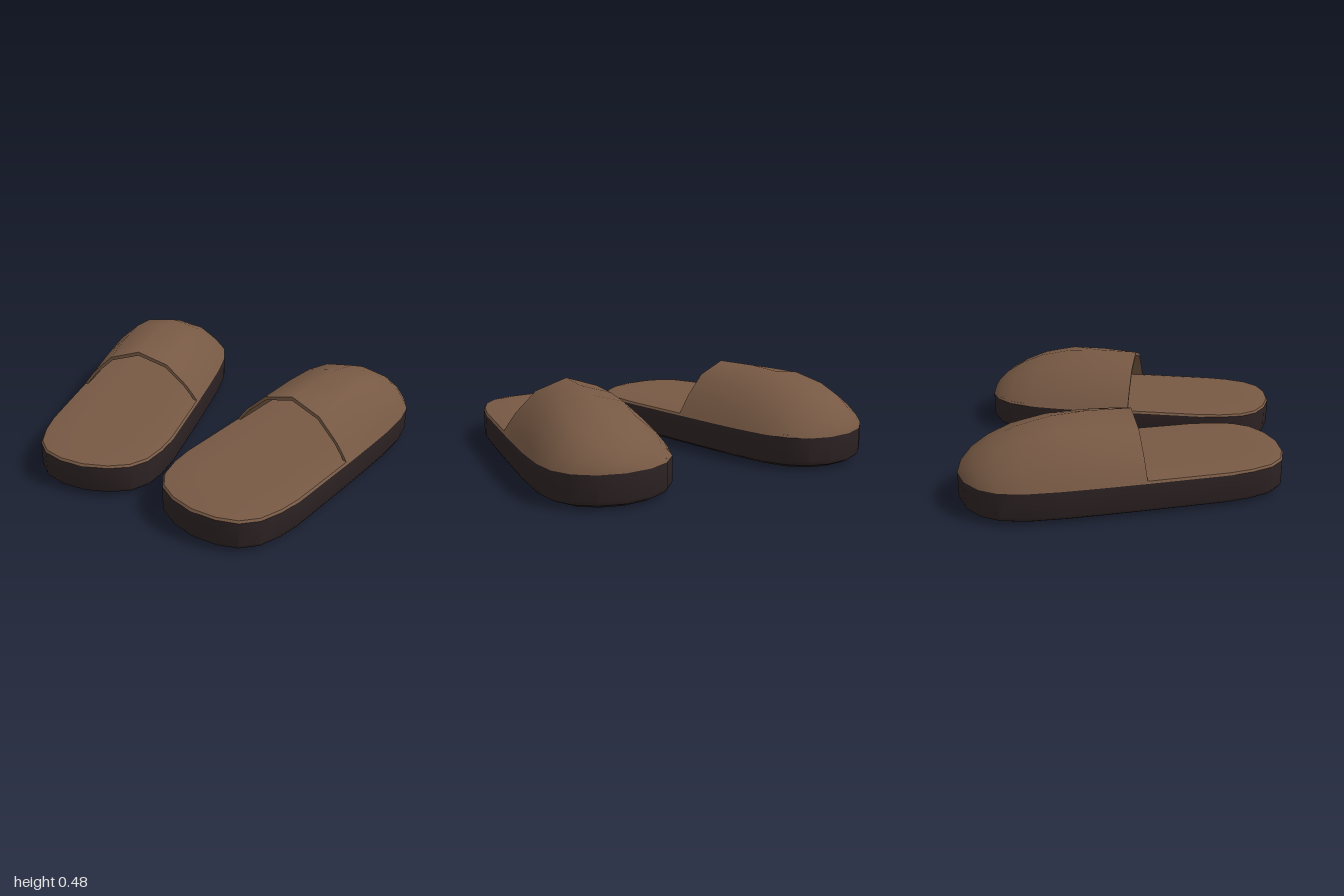
import * as THREE from 'three';
import { toCreasedNormals } from 'three/addons/utils/BufferGeometryUtils.js';

// Half-width of the sole along its length (heel at +z, toe at -z)
const HEEL = [[0.86, 0], [0.84, 0.14], [0.79, 0.25], [0.705, 0.32], [0.58, 0.358], [0.45, 0.374]];
// Toe half: z, half-width, height of the upper
const TOE = [[-0.005, 0.377, 0.285], [-0.25, 0.376, 0.29], [-0.45, 0.372, 0.277], [-0.64, 0.357, 0.235],
  [-0.775, 0.32, 0.175], [-0.87, 0.25, 0.115], [-0.935, 0.14, 0.05], [-0.96, 0, 0]];
const ACROSS = [-1, -0.93, -0.8, -0.48, 0, 0.48, 0.8, 0.93, 1];
const BASE = 0.188;

// Surface through rows of points; it faces along (column direction x row direction)
function surface(rows, crease) {
  const n = rows[0].length, index = [];
  for (let i = 0; i < rows.length - 1; i++) {
    for (let j = 0; j < n - 1; j++) {
      const a = i * n + j, d = a + n;
      index.push(a, a + 1, d + 1, a, d + 1, d);
    }
  }
  const geo = new THREE.BufferGeometry();
  geo.setAttribute('position', new THREE.Float32BufferAttribute(rows.flat(2), 3));
  geo.setIndex(index);
  return toCreasedNormals(geo, crease);
}

// Closed sole outline: heel, up the +x side to the toe, back down the -x side
const half = [...HEEL, ...TOE];
const outline = [...half.map(([z, w]) => [w, z]), ...half.slice(0, -1).reverse().map(([z, w]) => [-w, z])];

// Stack of outline rings, each [height, inset]; an inset of 1 closes the surface
function slab(rings) {
  return surface(rings.map(([y, inset]) => {
    const sx = inset === 1 ? 0 : 1 - inset / 0.377, sz = inset === 1 ? 0 : 1 - inset / 0.91;
    return outline.map(([x, z]) => [x * sx, y, (z + 0.05) * sz - 0.05]);
  }), 0.6);
}

// Arched shell over the toes, steeper on the outer side
function upperRows(side, sx, sy, sz) {
  return TOE.map(([z, w, h], i) => ACROSS.map((u) => {
    const depth = Math.min(1, i / 2);
    const power = u * side > 0 ? 2.1 + 1.1 * depth : 2.1 + 0.2 * depth;
    return [u * w * sx, BASE + h * sy * (1 - Math.abs(u) ** power), z * sz];
  }));
}

function makeSlipper(name, side, brown, dark) {
  const slipper = new THREE.Group();
  slipper.name = name;
  const add = (part, geo, material) => {
    const mesh = new THREE.Mesh(geo, material);
    mesh.name = part;
    slipper.add(mesh);
  };
  add('sole', slab([[0, 1], [0, 0.12], [0.008, 0.05], [0.03, 0.01], [0.05, 0], [BASE, 0]]), dark);
  add('footbed', slab([[BASE, 0], [0.2, 0.008], [0.208, 0.05], [0.212, 0.15], [0.213, 1]]), brown);

  // Upper: outside, lining and the rim that joins them at the opening
  const outer = upperRows(side, 1, 1, 1);
  const inner = upperRows(side, 0.95, 0.92, 0.97);
  inner[0].forEach((p, j) => { p[2] = outer[0][j][2]; });
  add('upper', surface(outer, 1.2), brown);
  add('upperLining', surface(inner.map((row) => [...row].reverse()), 1.2), brown);
  add('upperRim', surface([inner[0], outer[0]], 0.6), brown);
  return slipper;
}

export function createModel() {
  const brown = new THREE.MeshStandardMaterial({ color: 0x775944 });
  brown.name = 'brown leather';
  const dark = new THREE.MeshStandardMaterial({ color: 0x2e2324 });
  dark.name = 'dark rubber';

  const model = new THREE.Group();
  model.name = 'slippers';
  const straight = makeSlipper('straightSlipper', 1, brown, dark);
  straight.position.set(0.62, 0, 0);
  const turned = makeSlipper('turnedSlipper', -1, brown, dark);
  turned.position.set(-0.417, 0, 0.12);
  turned.rotation.y = THREE.MathUtils.degToRad(22);
  model.add(straight, turned);
  return model;
}
